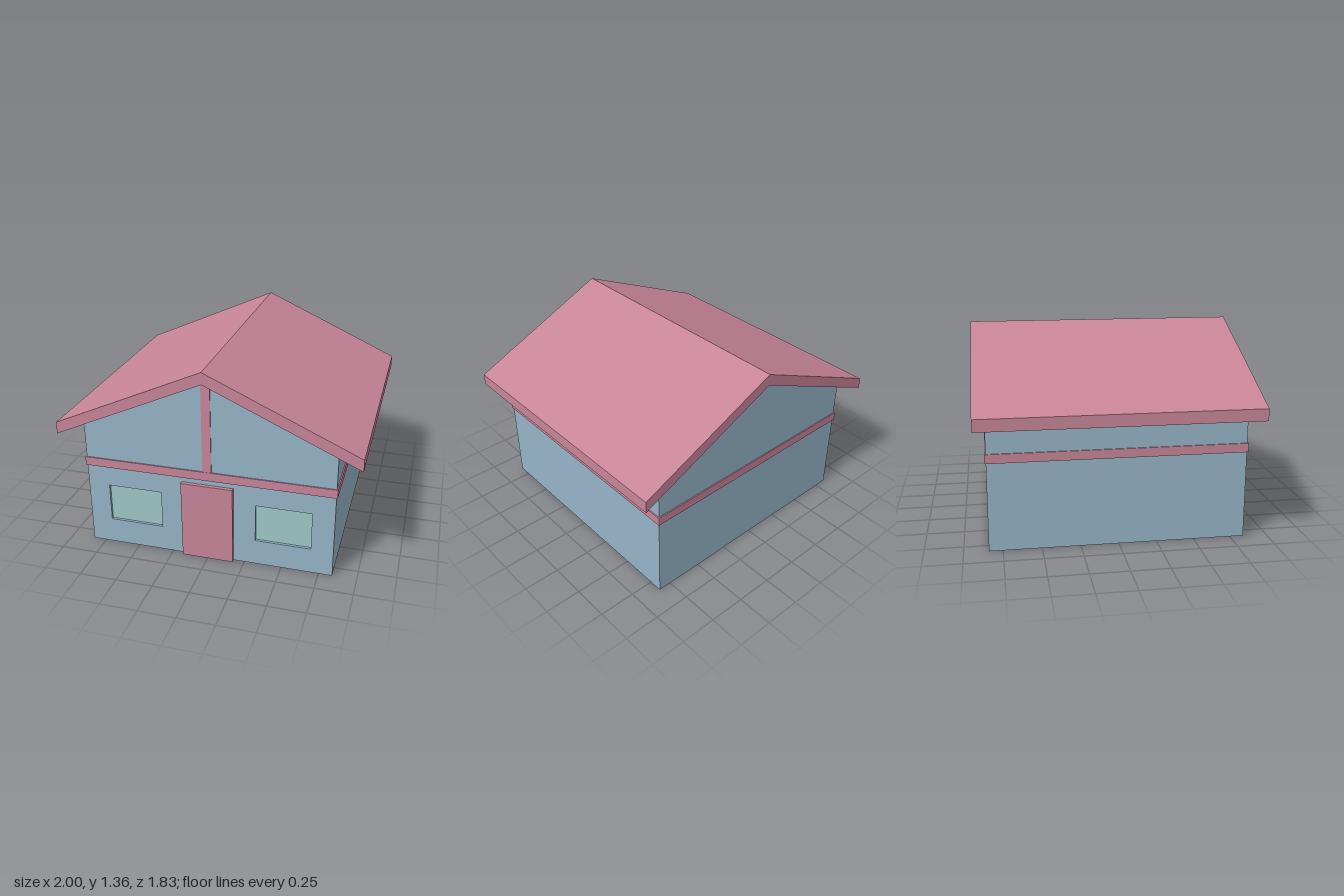
import * as THREE from 'three';

const paint = (color) => new THREE.MeshStandardMaterial({ color });

export function createModel() {
  const house = new THREE.Group();
  house.name = 'house';
  const blue = paint(0x96b4c8), pink = paint(0xc88598), glass = paint(0x9fc9c8);

  const add = (name, geometry, material) => {
    const mesh = new THREE.Mesh(geometry, material);
    mesh.name = name;
    house.add(mesh);
    return mesh;
  };
  // Box given by its lower and upper corners
  const box = (name, material, [x0, y0, z0], [x1, y1, z1]) =>
    add(name, new THREE.BoxGeometry(x1 - x0, y1 - y0, z1 - z0), material)
      .position.set((x0 + x1) / 2, (y0 + y1) / 2, (z0 + z1) / 2);
  const outline = (points) => new THREE.Shape(points.map(([x, y]) => new THREE.Vector2(x, y)));
  // Front outline extruded from z0 to z1
  const slab = (name, material, shape, z0, z1) => {
    const geometry = new THREE.ExtrudeGeometry(shape, { depth: z1 - z0, bevelEnabled: false });
    add(name, geometry.translate(0, 0, z0), material);
  };

  // Walls: gabled body plus a thin front layer with window openings
  const W = 0.84, recess = 0.82;
  const gable = () => outline([[-W, 0], [W, 0], [W, 0.902], [0, 1.28], [-W, 0.902]]);
  slab('walls', blue, gable(), -W, recess);
  const front = gable();
  for (const [side, x0, x1] of [['right', -0.693, -0.323], ['left', 0.323, 0.693]]) {
    front.holes.push(new THREE.Path([[x0, 0.18], [x0, 0.445], [x1, 0.445], [x1, 0.18]]
      .map(([x, y]) => new THREE.Vector2(x, y))));
    box(side + 'Window', glass, [x0, 0.18, recess - 0.01], [x1, 0.445, recess + 0.002]);
  }
  slab('frontWall', blue, front, recess, W);

  // Roof: one bent slab with overhanging eaves
  slab('roof', pink, outline([[-1, 0.83], [0, 1.28], [1, 0.83], [1, 0.91], [0, 1.36], [-1, 0.91]]), -0.915, 0.915);

  // Trim and door
  box('trimBand', pink, [-0.848, 0.585, -0.848], [0.848, 0.645, 0.848]);
  box('gablePost', pink, [-0.03, 0.64, 0.83], [0.03, 1.275, 0.846]);
  box('door', pink, [-0.175, 0, 0.83], [0.175, 0.55, 0.866]);

  return house;
}
